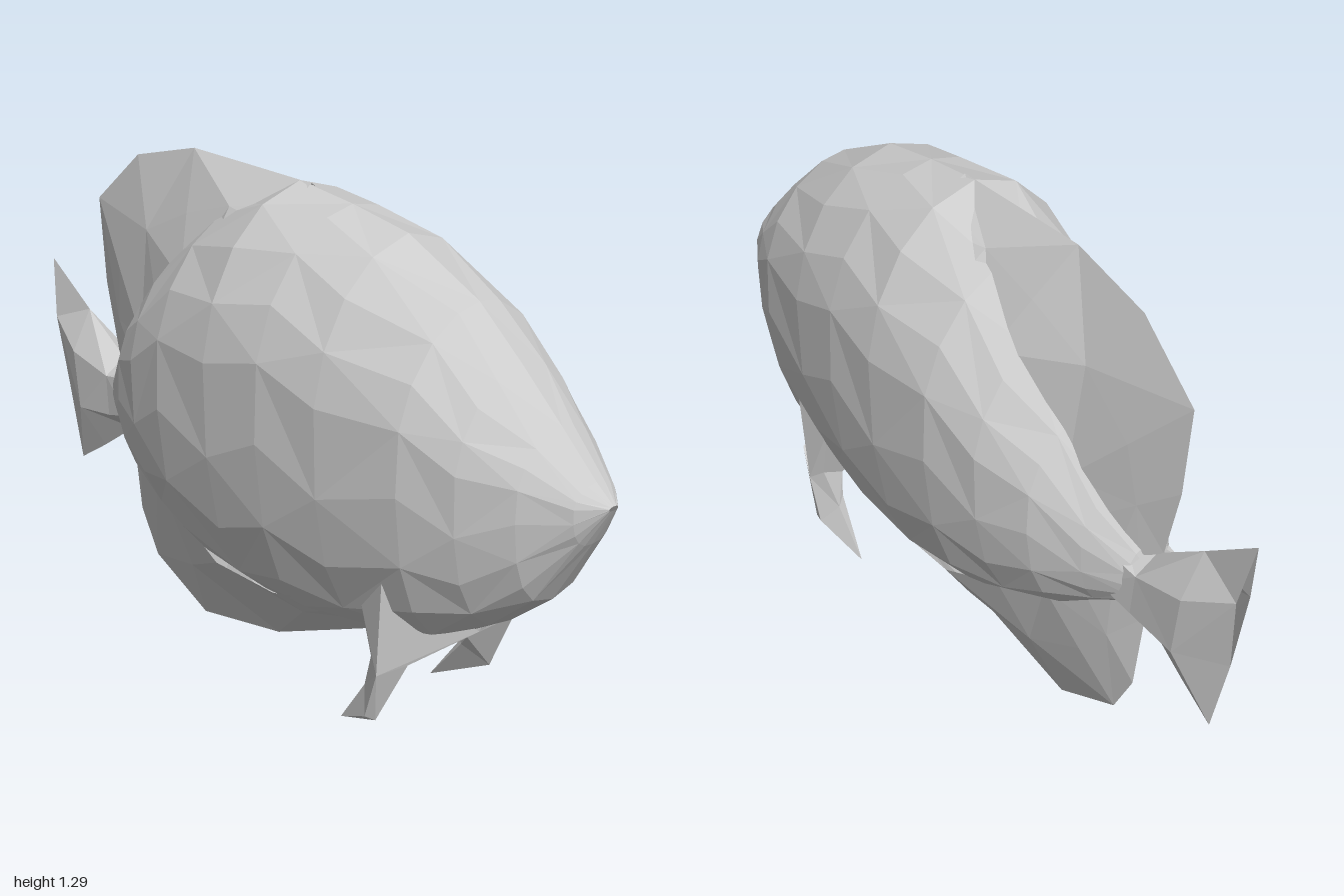
import * as THREE from 'three';

const material = new THREE.MeshStandardMaterial({
  color: 0xcccccc, flatShading: true, side: THREE.DoubleSide,
});

// Skins rows of [x, y, z] points on the left half (front to back, each top to bottom)
// and mirrors the result to the right half.
function mirroredSkin(name, rows) {
  const out = [];
  const tri = (a, b, c) => {
    out.push(...a, ...b, ...c);
    for (const [x, y, z] of [a, c, b]) out.push(-x, y, z);
  };
  for (let i = 0; i < rows.length - 1; i++) {
    for (let j = 0; j < rows[i].length - 1; j++) {
      const a = rows[i][j], b = rows[i][j + 1];
      const c = rows[i + 1][j], d = rows[i + 1][j + 1];
      if ((i + j) % 2) { tri(a, b, c); tri(b, d, c); }
      else { tri(a, b, d); tri(a, d, c); }
    }
  }
  const geometry = new THREE.BufferGeometry();
  geometry.setAttribute('position', new THREE.Float32BufferAttribute(out, 3));
  geometry.computeVertexNormals();
  const mesh = new THREE.Mesh(geometry, material);
  mesh.name = name;
  return mesh;
}

// Body: egg-shaped sections, fuller below the widest line
function createBody() {
  // z, bottom, widest height, top, half width
  const sections = [
    [1.0, 0.765, 0.77, 0.775, 0.015],
    [0.95, 0.67, 0.765, 0.815, 0.07],
    [0.85, 0.5, 0.77, 0.91, 0.14],
    [0.73, 0.4, 0.79, 1.02, 0.203],
    [0.6, 0.32, 0.82, 1.13, 0.25],
    [0.38, 0.27, 0.85, 1.235, 0.289],
    [0.2, 0.24, 0.86, 1.265, 0.307],
    [0.02, 0.23, 0.86, 1.285, 0.308],
    [-0.18, 0.26, 0.82, 1.19, 0.29],
    [-0.33, 0.32, 0.77, 1.07, 0.252],
    [-0.46, 0.38, 0.7, 0.93, 0.197],
    [-0.57, 0.45, 0.63, 0.78, 0.125],
    [-0.66, 0.5, 0.58, 0.66, 0.065],
    [-0.69, 0.57, 0.57, 0.57, 0],
  ];
  const steps = 9;
  const rows = sections.map(([z, bottom, mid, top, width], i) => {
    const row = [[0, top, z]];
    // Alternate sections are turned a little for irregular facets
    const shift = i % 2 ? 0.18 : -0.18;
    for (let k = 1; k < steps; k++) {
      const angle = ((k + shift) / steps) * Math.PI;
      const s = Math.sin(angle), c = Math.cos(angle);
      const power = c > 0 ? 1.05 : 0.8;
      const rise = Math.sign(c) * Math.abs(c) ** power;
      row.push([width * s ** power, mid + (c > 0 ? top - mid : mid - bottom) * rise, z]);
    }
    row.push([0, bottom, z]);
    return row;
  });
  return mirroredSkin('body', rows);
}

// Wedge fin with hollowed sides: [edge z, edge y, base z, base y, base half thickness]
function createFin(name, ribs, hangsDown) {
  return mirroredSkin(name, ribs.map(([ez, ey, bz, by, h]) => {
    const middle = [h * 0.52, (ey + by) / 2, (ez + bz) / 2];
    const row = [[0, ey, ez], middle, [h, by, bz]];
    return hangsDown ? row.reverse() : row;
  }));
}

export function createModel() {
  const model = new THREE.Group();
  model.name = 'fish';
  model.add(createBody());

  // Dorsal fin rising over the rear of the back
  model.add(createFin('dorsalFin', [
    [0.06, 1.285, 0.06, 1.2, 0.13],
    [-0.16, 1.288, -0.12, 1.12, 0.16],
    [-0.37, 1.29, -0.25, 1.01, 0.15],
    [-0.6, 1.23, -0.38, 0.9, 0.125],
    [-0.775, 1.08, -0.48, 0.78, 0.1],
    [-0.755, 0.85, -0.55, 0.7, 0.075],
    [-0.71, 0.66, -0.6, 0.6, 0.05],
  ], false));

  // Anal fin under the rear of the belly
  model.add(createFin('analFin', [
    [0.45, 0.275, 0.42, 0.36, 0.15],
    [0.15, 0.145, 0.12, 0.3, 0.18],
    [-0.06, 0.055, -0.1, 0.3, 0.175],
    [-0.36, 0.0, -0.28, 0.36, 0.145],
    [-0.565, 0.1, -0.42, 0.42, 0.11],
    [-0.63, 0.22, -0.52, 0.48, 0.08],
    [-0.66, 0.44, -0.6, 0.54, 0.05],
  ], true));

  // Tail fin: narrow stalk flaring to a slanted trailing edge
  model.add(mirroredSkin('tailFin', [
    [[0, 0.66, -0.56], [0.07, 0.63, -0.59], [0.08, 0.53, -0.58], [0, 0.5, -0.57]],
    [[0, 0.65, -0.69], [0.063, 0.61, -0.69], [0.065, 0.5, -0.68], [0, 0.45, -0.66]],
    [[0, 0.75, -0.84], [0.06, 0.64, -0.84], [0.06, 0.48, -0.82], [0, 0.36, -0.79]],
    [[0, 0.86, -1.0], [0.02, 0.7, -0.97], [0, 0.5, -0.95], [0, 0.29, -0.9]],
  ]));

  // Pelvic fins: front, outer, back and inner ridges meeting at a swept tip,
  // joined across the throat by a short web
  const tip = [0.155, 0.04, 0.34];
  const ridges = [
    [[0, 0.335, 0.64], [0.18, 0.29, 0.585], [0.197, 0.115, 0.5], tip],
    [[0.215, 0.5, 0.53], [0.207, 0.24, 0.51], [0.203, 0.115, 0.47], tip],
    [[0.19, 0.43, 0.43], [0.185, 0.27, 0.47], [0.165, 0.17, 0.43], tip],
    [[0, 0.275, 0.52], [0.11, 0.225, 0.5], [0.135, 0.18, 0.46], tip],
  ];
  model.add(mirroredSkin('pelvicFins', [...ridges, ridges[0]]));
  return model;
}
